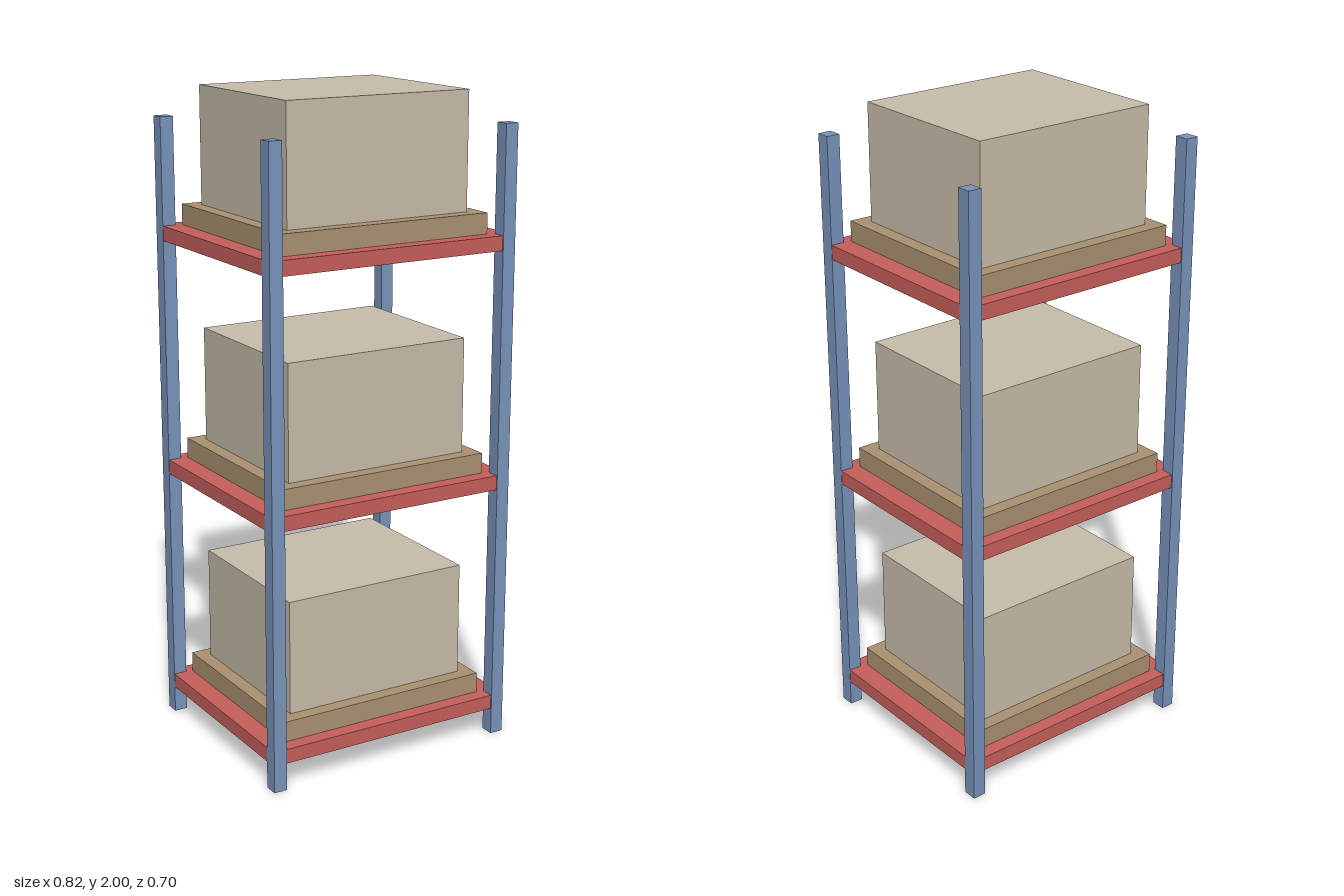
import * as THREE from 'three';

const material = (color) => new THREE.MeshStandardMaterial({ color, flatShading: true });

export function createModel() {
  const group = new THREE.Group();
  group.name = 'palletRack';

  const blue = material(0x7a95be);
  const red = material(0xc8605c);
  const wood = material(0xac9272);
  const card = material(0xc8beac);

  // Box standing on height y
  const addBox = (parent, name, w, h, d, x, y, z, mat) => {
    const mesh = new THREE.Mesh(new THREE.BoxGeometry(w, h, d), mat);
    mesh.name = name;
    mesh.position.set(x, y + h / 2, z);
    parent.add(mesh);
  };

  // Four corner posts
  for (const sx of [-1, 1]) {
    for (const sz of [-1, 1]) {
      const name = (sz > 0 ? 'front' : 'back') + (sx > 0 ? 'Left' : 'Right') + 'Post';
      addBox(group, name, 0.042, 1.907, 0.044, sx * 0.389, 0, sz * 0.329, blue);
    }
  }

  // Three levels, each a shelf carrying a pallet and a crate
  [0.083, 0.804, 1.537].forEach((y, i) => {
    const level = new THREE.Group();
    level.name = 'level' + (i + 1);
    level.position.y = y;
    addBox(level, 'shelf', 0.818, 0.045, 0.694, 0, 0, 0, red);
    addBox(level, 'pallet', 0.692, 0.063, 0.604, -0.001, 0.045, -0.001, wood);
    addBox(level, 'crate', 0.604, 0.355, 0.518, -0.001, 0.108, -0.001, card);
    group.add(level);
  });

  return group;
}
